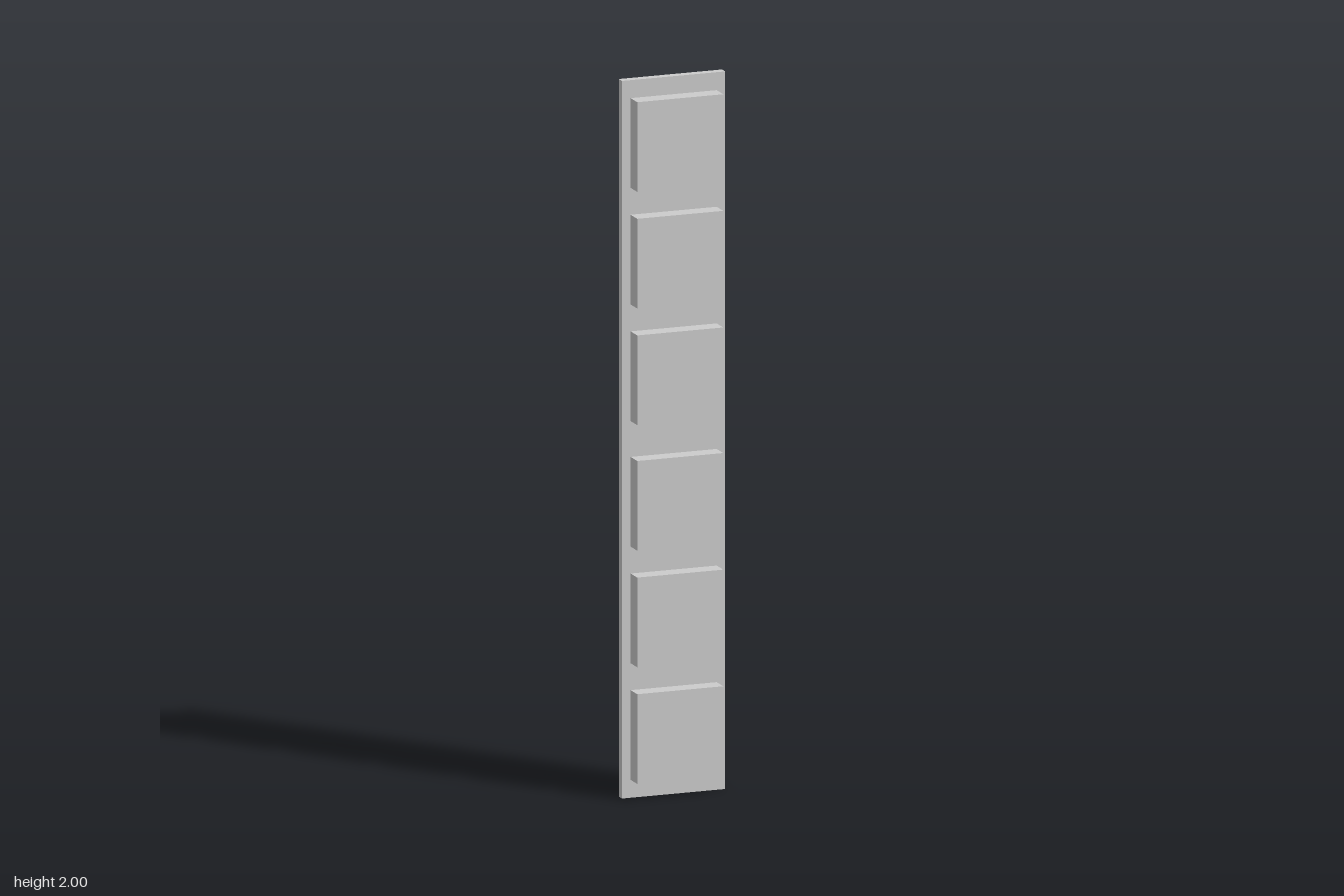
import * as THREE from 'three';

export function createModel() {
  const group = new THREE.Group();
  const material = new THREE.MeshStandardMaterial({ color: 0xcccccc, flatShading: true });
  const backZ = -0.037, seamZ = -0.013, frontZ = 0.037;

  const addBox = (name, width, height, z0, z1, y) => {
    const mesh = new THREE.Mesh(new THREE.BoxGeometry(width, height, z1 - z0), material);
    mesh.name = name;
    mesh.position.set(0, y, (z0 + z1) / 2);
    group.add(mesh);
  };

  // Tall thin backing plate
  addBox('backPlate', 0.3, 2, backZ, seamZ, 1);

  // Two mirrored sets of three square raised panels, with a wider gap at mid height
  let count = 0;
  for (const side of [-1, 1]) {
    for (const offset of [0.175, 0.5, 0.825]) {
      addBox(`raisedPanel${++count}`, 0.25, 0.25, seamZ, frontZ, 1 + side * offset);
    }
  }
  return group;
}
